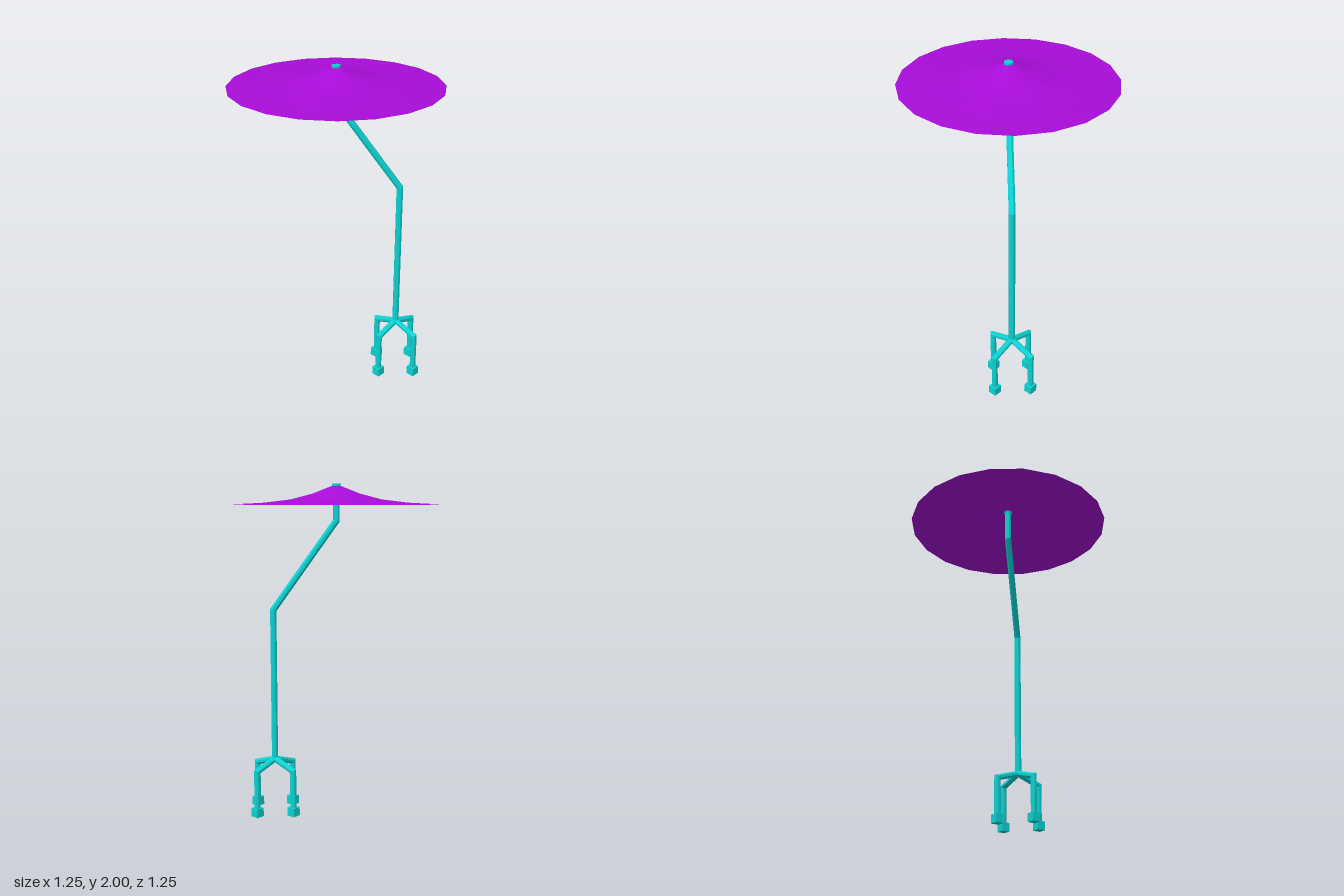
import * as THREE from 'three';

const V = (x, y, z) => new THREE.Vector3(x, y, z);

// Octagonal tube with mitred bends along a path in a vertical plane; side is that plane's normal
function mitredTube(path, radius, side, sides = 8) {
  const rings = path.map((p, i) => {
    const before = path[Math.max(i - 1, 0)], after = path[Math.min(i + 1, path.length - 1)];
    const a = p.clone().sub(before).normalize(), b = after.clone().sub(p).normalize();
    const t = a.clone().add(b).normalize();
    const n = side.clone().cross(t).normalize();
    const stretch = 1 / t.dot(i > 0 ? a : b);
    return Array.from({ length: sides }, (_, j) => {
      const angle = ((j + 0.5) / sides) * Math.PI * 2;
      return p.clone()
        .addScaledVector(n, Math.cos(angle) * radius * stretch)
        .addScaledVector(side, Math.sin(angle) * radius);
    });
  });
  const tris = [];
  const last = rings.length - 1;
  for (let j = 0; j < sides; j++) {
    const k = (j + 1) % sides;
    for (let i = 0; i < last; i++) {
      const a = rings[i][j], b = rings[i][k], c = rings[i + 1][k], d = rings[i + 1][j];
      tris.push(a, b, c, a, c, d);
    }
    tris.push(path[0], rings[0][k], rings[0][j]);
    tris.push(path[last], rings[last][j], rings[last][k]);
  }
  const geometry = new THREE.BufferGeometry().setFromPoints(tris);
  geometry.computeVertexNormals();
  return geometry;
}

export function createModel() {
  const model = new THREE.Group();
  model.name = 'parasol';

  const teal = new THREE.MeshStandardMaterial({ color: 0x0dd3d3, flatShading: true });
  teal.name = 'teal';
  const purple = new THREE.MeshStandardMaterial({ color: 0xa80cd8, flatShading: true, side: THREE.DoubleSide });
  purple.name = 'purple';

  const add = (name, geometry, material, parent = model) => {
    const mesh = new THREE.Mesh(geometry, material);
    mesh.name = name;
    parent.add(mesh);
    return mesh;
  };

  // Canopy: thin concave shell with twenty sides
  const profile = [[0.625, 1.88], [0.43, 1.89], [0.27, 1.909], [0.14, 1.943], [0.02, 1.99]]
    .map(([r, y]) => new THREE.Vector2(r, y));
  add('canopy', new THREE.LatheGeometry(profile, 20), purple);

  // Cap on the tip
  const cap = add('cap', new THREE.CylinderGeometry(0.027, 0.027, 0.02, 8), teal);
  cap.rotation.y = Math.PI / 8;
  cap.position.y = 1.99;

  // Bent pole
  const poleX = 0.38;
  add('pole', mitredTube(
    [V(poleX, 0.32, 0), V(poleX, 1.255, 0), V(0, 1.785, 0), V(0, 1.985, 0)],
    0.0205, V(0, 0, 1)), teal);

  // Four diagonal legs with square feet
  const reach = 0.11 * Math.SQRT2;
  const legGeometry = mitredTube(
    [V(0, 0.33, 0), V(reach, 0.28, 0), V(reach, 0.03, 0)], 0.019, V(0, 0, 1));
  const footGeometry = new THREE.BoxGeometry(0.053, 0.053, 0.053);
  for (let i = 0; i < 4; i++) {
    const leg = new THREE.Group();
    leg.name = 'leg';
    leg.position.x = poleX;
    leg.rotation.y = Math.PI / 4 + (i * Math.PI) / 2;
    add('legTube', legGeometry, teal, leg);
    add('foot', footGeometry, teal, leg).position.set(reach, 0.0265, 0);
    model.add(leg);
  }

  return model;
}
